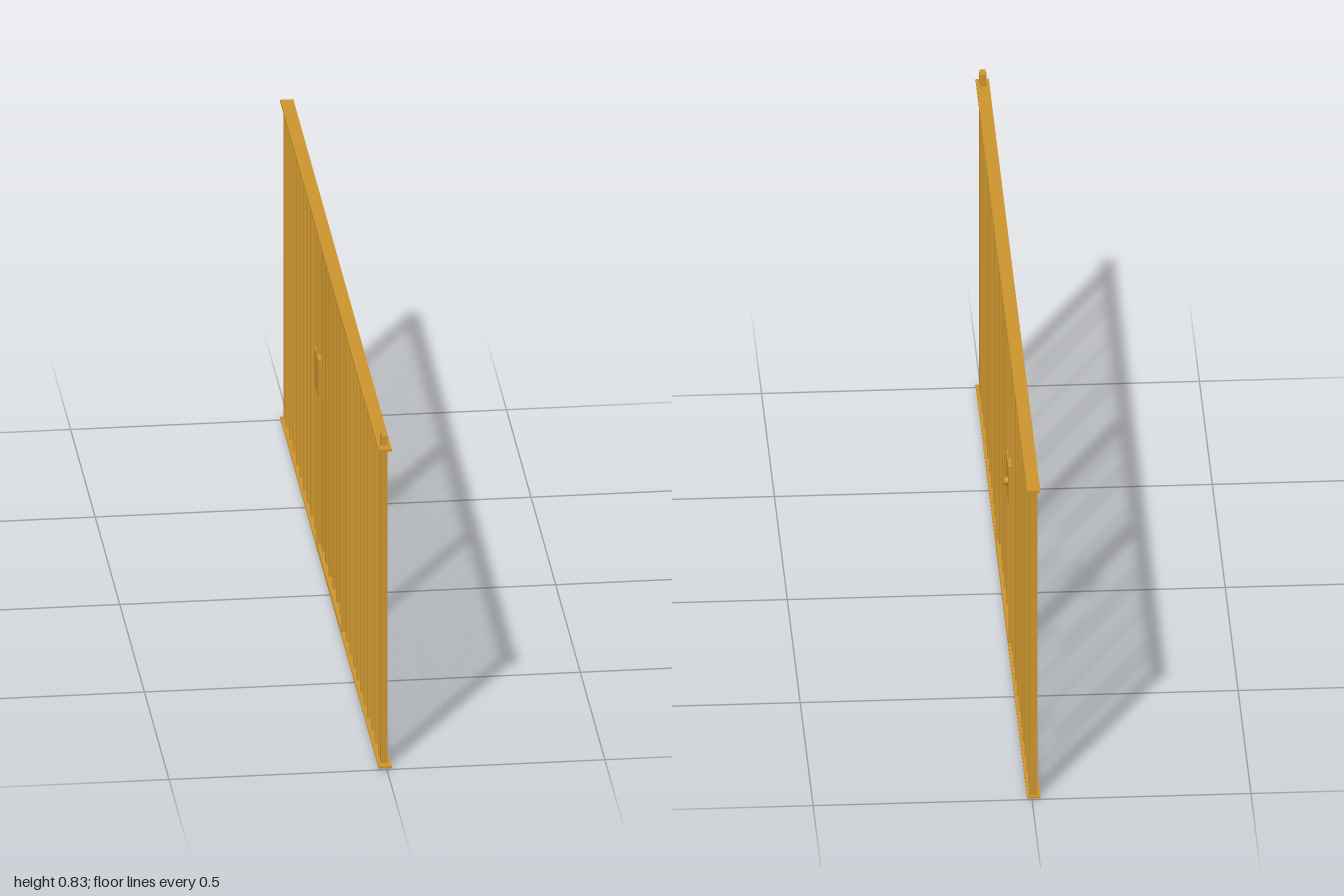
import * as THREE from 'three';

export function createModel() {
  const model = new THREE.Group();
  model.name = 'barredGate';
  const brass = new THREE.MeshStandardMaterial({ color: 0xd0982f });
  brass.name = 'brass';
  const cx = -0.004; // centre plane of the fence

  const add = (name, geometry, x, y, z, parent = model) => {
    const mesh = new THREE.Mesh(geometry, brass);
    mesh.name = name;
    mesh.position.set(x, y, z);
    parent.add(mesh);
    return mesh;
  };
  const box = (name, w, h, d, x, y, z, parent) =>
    add(name, new THREE.BoxGeometry(w, h, d), x, y, z, parent);
  const group = (name) => {
    const g = new THREE.Group();
    g.name = name;
    model.add(g);
    return g;
  };

  // Flat top and bottom rails
  box('bottomRail', 0.03, 0.005, 2, cx, 0.0055, 0);
  box('topRail', 0.03, 0.006, 2, cx, 0.794, 0);

  // Round bars of the two fixed panels
  const barGeometry = new THREE.CylinderGeometry(0.0095, 0.0095, 0.784, 12);
  for (const [name, start] of [['frontPanel', 0.936], ['backPanel', -0.294]]) {
    const panel = group(name);
    for (let i = 0; i < 10; i++) {
      add('panelBar', barGeometry, cx, 0.4, start - i * 0.0725, panel);
    }
  }

  // End posts, the front one with a hooked tip above the rail
  box('backPost', 0.017, 0.785, 0.012, cx, 0.3995, -0.989);
  box('frontPost', 0.016, 0.826, 0.016, cx, 0.413, 0.972);
  box('postHook', 0.014, 0.008, 0.014, cx, 0.822, 0.984);

  // Door: thin flat frame with square bars
  const door = group('door');
  for (const z of [0.232, -0.257]) {
    box('doorStile', 0.03, 0.777, 0.005, cx, 0.3985, z, door);
  }
  for (const y of [0.0125, 0.785]) {
    box('doorRail', 0.03, 0.005, 0.489, cx, y, -0.0125, door);
  }
  for (let i = 0; i < 7; i++) {
    box('doorBar', 0.015, 0.77, 0.014, cx, 0.3985, 0.216 - i * 0.0725, door);
  }

  // Lock case with a round knob
  const lock = group('lock');
  box('lockCase', 0.033, 0.094, 0.083, -0.0035, 0.441, -0.26, lock);
  const knob = new THREE.CylinderGeometry(0.009, 0.009, 0.01, 16);
  add('lockKnob', knob, 0.0165, 0.444, -0.285, lock).rotation.z = Math.PI / 2;

  return model;
}
